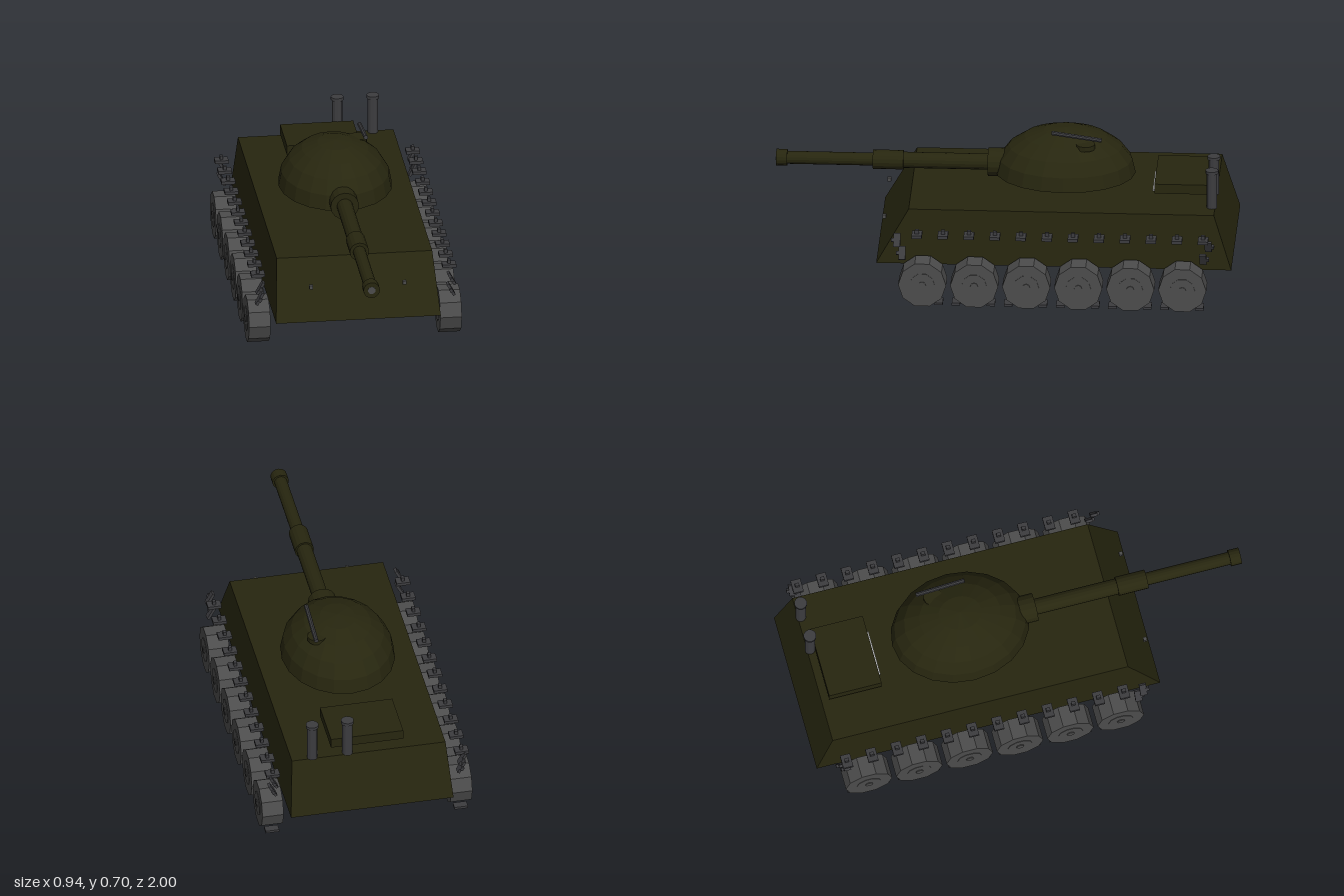
import * as THREE from 'three';

const mat = (name, color, flat = true) => {
  const m = new THREE.MeshStandardMaterial({ color, flatShading: flat });
  m.name = name;
  return m;
};

export function createModel() {
  const olive = mat('dark olive', 0x27260f);
  const wheelGray = mat('wheel gray', 0x4c4c4c);
  const trackGray = mat('track gray', 0x3c3c3f);
  const lightGray = mat('light gray', 0xb4b4b4);
  const model = new THREE.Group();
  model.name = 'tank';

  const add = (name, geo, material, x, y, z, parent = model) => {
    const m = new THREE.Mesh(geo, material);
    m.name = name;
    m.position.set(x, y, z);
    parent.add(m);
    return m;
  };
  const box = (w, h, d) => new THREE.BoxGeometry(w, h, d);
  const cyl = (r, h, n, axis = 'y', r2 = r) => {
    const g = new THREE.CylinderGeometry(r2, r, h, n);
    if (axis === 'x') g.rotateZ(-Math.PI / 2);
    if (axis === 'z') g.rotateX(Math.PI / 2);
    return g;
  };

  // Hull: a box with its top face drawn in on all sides
  const hull = box(0.72, 0.248, 1.54);
  const p = hull.attributes.position;
  for (let i = 0; i < p.count; i++) {
    const top = p.getY(i) > 0;
    p.setX(i, Math.sign(p.getX(i)) * (top ? 0.34 : 0.36));
    p.setZ(i, p.getZ(i) > 0 ? (top ? 0.405 : 0.545) : (top ? -0.92 : -0.997));
  }
  hull.computeVertexNormals();
  add('hull', hull, olive, 0, 0.28, 0);

  // Engine deck with light grille slats beneath it
  add('engineDeck', box(0.32, 0.044, 0.235), olive, 0, 0.447, -0.77);
  for (let i = 0; i < 3; i++) {
    add('grilleSlat', box(0.205, 0.007, 0.016), lightGray, 0, 0.416, -0.65 - i * 0.06);
  }

  // Exhaust pipes
  for (const x of [0.092, 0.248]) {
    add('exhaustPipe', cyl(0.023, 0.165, 12), trackGray, x, 0.485, -0.907);
    add('exhaustCap', cyl(0.028, 0.014, 12), trackGray, x, 0.572, -0.907);
  }

  // Turret dome and its floor
  const turret = new THREE.Group();
  turret.name = 'turret';
  model.add(turret);
  const dome = new THREE.SphereGeometry(1, 20, 5, 0, Math.PI * 2, 0, Math.PI / 2);
  dome.scale(0.247, 0.206, 0.305);
  add('turretDome', dome, olive, 0, 0.455, -0.258, turret);
  const floor = new THREE.CircleGeometry(1, 20);
  floor.rotateX(Math.PI / 2);
  floor.scale(0.247, 1, 0.305);
  add('turretFloor', floor, olive, 0, 0.455, -0.258, turret);
  add('hatch', cyl(0.042, 0.022, 12), olive, 0.11, 0.62, -0.35, turret);

  // Roof machine gun
  const gun = add('roofGun', cyl(0.01, 0.22, 8, 'z'), trackGray, 0.128, 0.671, -0.313, turret);
  gun.rotation.x = -0.14;

  // Main gun: [name, radius, back z, front z]
  for (const [name, r, z0, z1] of [
    ['mantlet', 0.062, 0.0, 0.078], ['barrelBase', 0.035, -0.05, 0.46],
    ['barrelSleeve', 0.042, 0.445, 0.578], ['barrel', 0.028, 0.57, 0.96],
    ['muzzle', 0.036, 0.95, 0.998],
  ]) add(name, cyl(r, z1 - z0, 16, 'z'), olive, 0, 0.49, (z0 + z1) / 2, turret);
  add('bore', cyl(0.017, 0.004, 10, 'z'), wheelGray, 0, 0.49, 0.998, turret);

  for (const s of [1, -1]) {
    add('headlight', box(0.016, 0.016, 0.016), wheelGray, s * 0.204, 0.31, 0.518);

    // Road wheels with raised discs and hubs
    for (let i = 0; i < 6; i++) {
      const w = new THREE.Group();
      w.name = 'roadWheel';
      w.position.set(s * 0.418, 0.1, 0.34 - i * 0.226);
      model.add(w);
      add('tyre', cyl(0.104, 0.094, 10, 'x'), wheelGray, 0, 0, 0, w);
      add('wheelDisc', cyl(0.055, 0.098, 10, 'x'), wheelGray, 0, 0, 0, w);
      add('wheelHub', cyl(0.017, 0.106, 8, 'x'), wheelGray, 0, 0, 0, w);
    }

    // Track links: upper run with teeth, then lower run
    for (let i = 0; i < 12; i++) {
      const z = 0.365 - i * 0.113;
      add('upperLink', box(0.06, 0.014, 0.044), trackGray, s * 0.418, 0.317, z);
      add('linkTooth', box(0.014, 0.018, 0.018), trackGray, s * 0.418, 0.332, z);
    }
    for (let i = 0; i < 17; i++) {
      add('lowerLink', box(0.06, 0.011, 0.036), trackGray, s * 0.418, 0.0055, 0.345 - i * 0.0755);
    }

    // Tilted links hanging at both ends
    for (const [y, z, tilt] of [[0.23, 0.43, 0.5], [0.29, 0.452, 0.5], [0.23, -0.877, -0.5], [0.29, -0.9, -0.5]]) {
      const link = add('endLink', box(0.012, 0.06, 0.03), trackGray, s * 0.418, y, z);
      link.rotation.z = tilt * s;
      const tooth = add('endTooth', box(0.014, 0.016, 0.016), trackGray, s * 0.418, y, z + Math.sign(z) * 0.018);
      tooth.rotation.z = tilt * s;
    }
  }
  return model;
}
